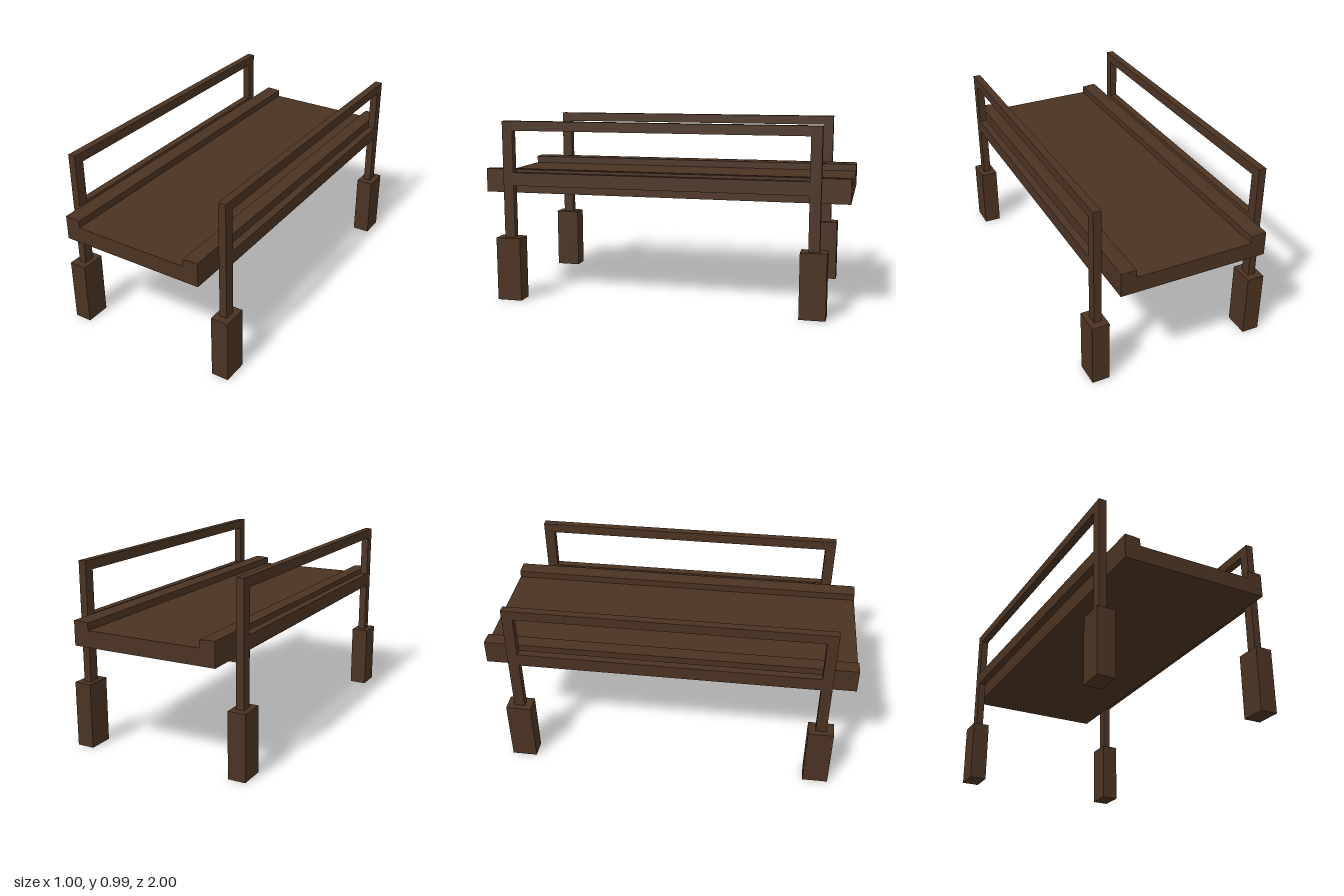
import * as THREE from 'three';

export function createModel() {
  const model = new THREE.Group();
  model.name = 'footbridge';
  const wood = new THREE.MeshStandardMaterial({ color: 0x4a3322 });
  wood.name = 'dark wood';

  // Box given by its minimum and maximum corners
  function box(name, parent, [x0, y0, z0], [x1, y1, z1]) {
    const mesh = new THREE.Mesh(new THREE.BoxGeometry(x1 - x0, y1 - y0, z1 - z0), wood);
    mesh.position.set((x0 + x1) / 2, (y0 + y1) / 2, (z0 + z1) / 2);
    mesh.name = name;
    parent.add(mesh);
  }

  // Deck with raised, slightly bevelled kerbs along both edges
  const half = [[0.4, 0.59], [0.4, 0.72], [0.36, 0.72], [0.317, 0.716], [0.317, 0.677]];
  const outline = [...half, ...half.map(([x, y]) => [-x, y]).reverse()];
  const shape = new THREE.Shape(outline.map(([x, y]) => new THREE.Vector2(x, y)));
  const deckGeometry = new THREE.ExtrudeGeometry(shape, { depth: 2, bevelEnabled: false });
  deckGeometry.translate(0, 0, -1);
  const deck = new THREE.Mesh(deckGeometry, wood);
  deck.name = 'deck';
  model.add(deck);

  // Side frames: footings, posts and two rails
  for (const side of [1, -1]) {
    const frame = new THREE.Group();
    frame.name = side > 0 ? 'leftRailing' : 'rightRailing';
    const span = (a, b) => (side > 0 ? [a, b] : [-b, -a]);
    const [f0, f1] = span(0.405, 0.5);
    const [p0, p1] = span(0.43, 0.471);

    for (const [end, z] of [['front', 0.838], ['back', -0.825]]) {
      box(end + 'Footing', frame, [f0, 0, z - 0.069], [f1, 0.35, z + 0.069]);
      box(end + 'Post', frame, [p0, 0.35, z - 0.029], [p1, 0.99, z + 0.029]);
    }
    box('topRail', frame, [p0, 0.938, -0.796], [p1, 0.99, 0.809]);
    box('lowerRail', frame, [p0, 0.638, -0.796], [p1, 0.71, 0.809]);
    model.add(frame);
  }
  return model;
}
